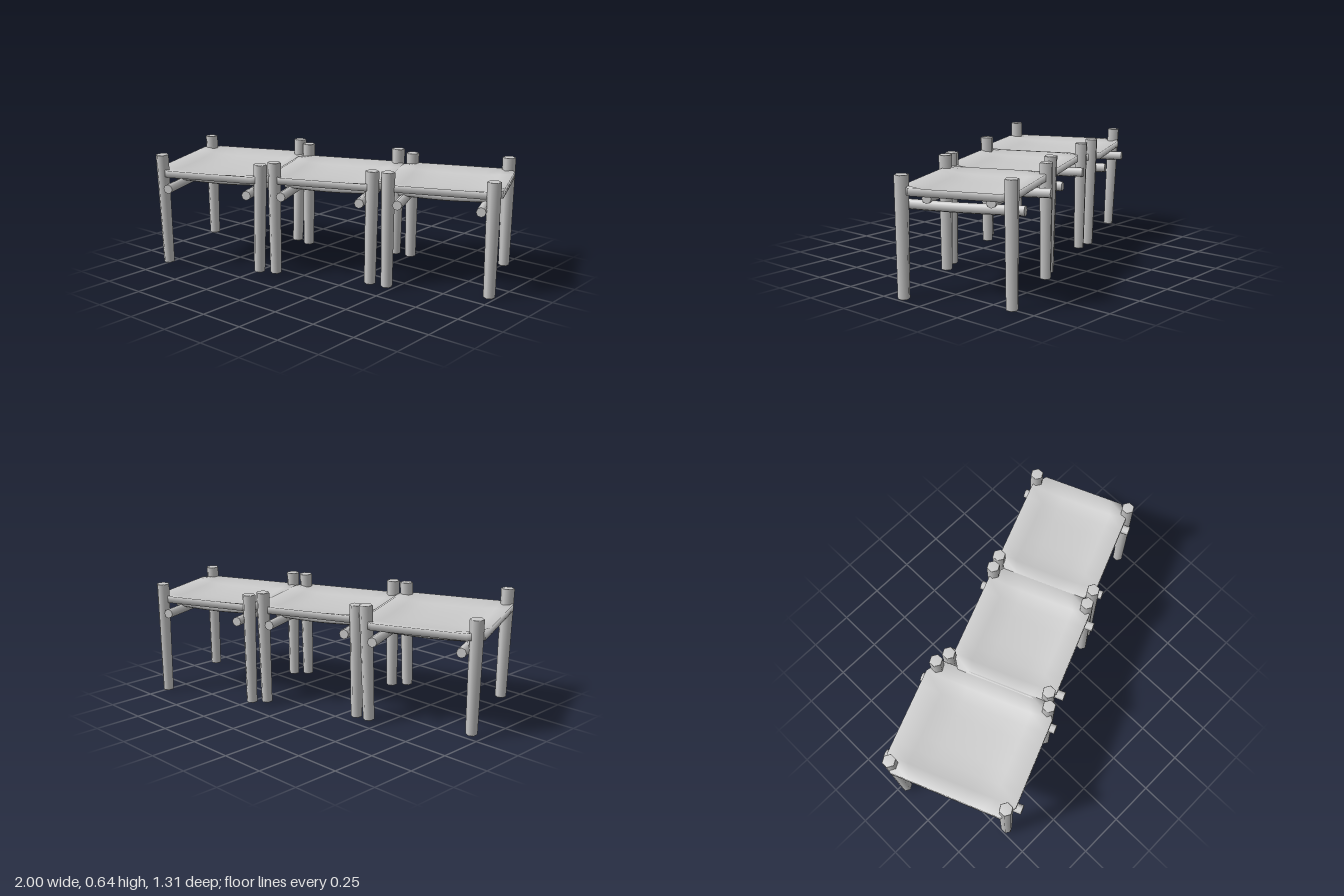
import * as THREE from 'three';
import { mergeVertices } from 'three/addons/utils/BufferGeometryUtils.js';

const material = new THREE.MeshStandardMaterial({ color: 0xcccccc, side: THREE.DoubleSide });

// Hexagonal pole with a slight rim, from point a to point b
function pole(name, a, b, rA, rB) {
  const len = a.distanceTo(b), e = 0.003;
  const profile = [[0, 0], [rA * 0.92, 0], [rA, e], [rB, len - e], [rB * 0.92, len], [0, len]]
    .map(([r, y]) => new THREE.Vector2(r, y));
  const mesh = new THREE.Mesh(new THREE.LatheGeometry(profile, 6), material);
  mesh.name = name;
  mesh.position.copy(a);
  mesh.quaternion.setFromUnitVectors(new THREE.Vector3(0, 1, 0), b.clone().sub(a).normalize());
  return mesh;
}

// Slightly bowed wooden bar between two points
function bowedBar(name, a, b, r, sag) {
  const mid = a.clone().lerp(b, 0.5);
  mid.y -= sag;
  const curve = new THREE.CatmullRomCurve3([a, mid, b]);
  const group = new THREE.Group();
  group.name = name;
  group.add(new THREE.Mesh(new THREE.TubeGeometry(curve, 8, r, 8), material));
  for (const [t, p] of [[0, a], [1, b]]) {
    const cap = new THREE.Mesh(new THREE.CircleGeometry(r, 8), material);
    cap.position.copy(p);
    const dir = curve.getTangent(t).multiplyScalar(t ? 1 : -1);
    cap.quaternion.setFromUnitVectors(new THREE.Vector3(0, 0, 1), dir);
    group.add(cap);
  }
  return group;
}

// Sagging hide with corners cut in to pass between the legs, smooth over its rim
function hide(halfU, halfV) {
  const box = new THREE.BoxGeometry(2, 1, 2, 8, 1, 6);
  box.deleteAttribute('normal');
  box.deleteAttribute('uv');
  const geo = mergeVertices(box);
  const p = geo.attributes.position;
  for (let i = 0; i < p.count; i++) {
    const s = p.getX(i), t = p.getZ(i);
    const cut = Math.max(0, (Math.abs(s) - 0.75) / 0.25);
    const width = halfV - 0.055 * cut;
    const dip = (1 - Math.abs(t) ** 3) * (1 - s ** 4);
    const y = p.getY(i) > 0 ? 0.56 - 0.035 * dip : 0.522 - 0.026 * dip;
    p.setXYZ(i, s * halfU, y, t * width);
  }
  geo.computeVertexNormals();
  const mesh = new THREE.Mesh(geo, material);
  mesh.name = 'hide';
  return mesh;
}

// Each bed: centre (u, v) along the row, bar spacing and widths
const beds = [
  { u: -0.611, v: -0.036, bar: 0.232, barV: 0.39, hideU: 0.33, hideV: 0.362 },
  { u: 0.027, v: -0.005, bar: 0.217, barV: 0.335, hideU: 0.32, hideV: 0.297 },
  { u: 0.66, v: -0.014, bar: 0.217, barV: 0.322, hideU: 0.314, hideV: 0.286 },
];

// Legs: top x, z, y then bottom x, z, y
const legs = [
  [-0.967, 0.01, 0.63, -0.95, 0.025, 0.018], [-0.725, 0.61, 0.643, -0.72, 0.598, 0.018],
  [-0.428, -0.208, 0.643, -0.437, -0.187, 0.018], [-0.186, 0.388, 0.626, -0.205, 0.39, 0.018],
  [-0.348, -0.195, 0.628, -0.348, -0.187, 0.011], [-0.133, 0.335, 0.636, -0.133, 0.335, 0.011],
  [0.17, -0.383, 0.637, 0.168, -0.37, 0.011], [0.375, 0.13, 0.628, 0.373, 0.14, 0.011],
  [0.247, -0.416, 0.617, 0.246, -0.414, 0], [0.455, 0.1, 0.628, 0.455, 0.1, 0],
  [0.755, -0.62, 0.628, 0.753, -0.62, 0], [0.963, -0.108, 0.617, 0.963, -0.106, 0],
];

export function createModel() {
  const model = new THREE.Group();
  model.name = 'rowOfBeds';

  legs.forEach(([xt, zt, yt, xb, zb, yb]) => {
    model.add(pole('leg', new THREE.Vector3(xb, yb, zb), new THREE.Vector3(xt, yt, zt), 0.031, 0.037));
  });

  // Frames lie along one diagonal row
  const row = new THREE.Group();
  row.name = 'bedFrames';
  row.rotation.y = THREE.MathUtils.degToRad(22.3);
  for (const b of beds) {
    const bed = new THREE.Group();
    bed.name = 'bed';
    bed.position.set(b.u, 0, b.v);
    for (const side of [-1, 1]) {
      const x = side * b.bar, z = side * b.hideV * 0.57;
      bed.add(bowedBar('crossbar', new THREE.Vector3(x, 0.468, -b.barV),
        new THREE.Vector3(x, 0.463, b.barV), 0.026, 0.004));
      bed.add(bowedBar('rail', new THREE.Vector3(-b.bar - 0.03, 0.5, z),
        new THREE.Vector3(b.bar + 0.03, 0.5, z), 0.025, 0.008));
    }
    bed.add(hide(b.hideU, b.hideV));
    row.add(bed);
  }
  model.add(row);
  return model;
}
